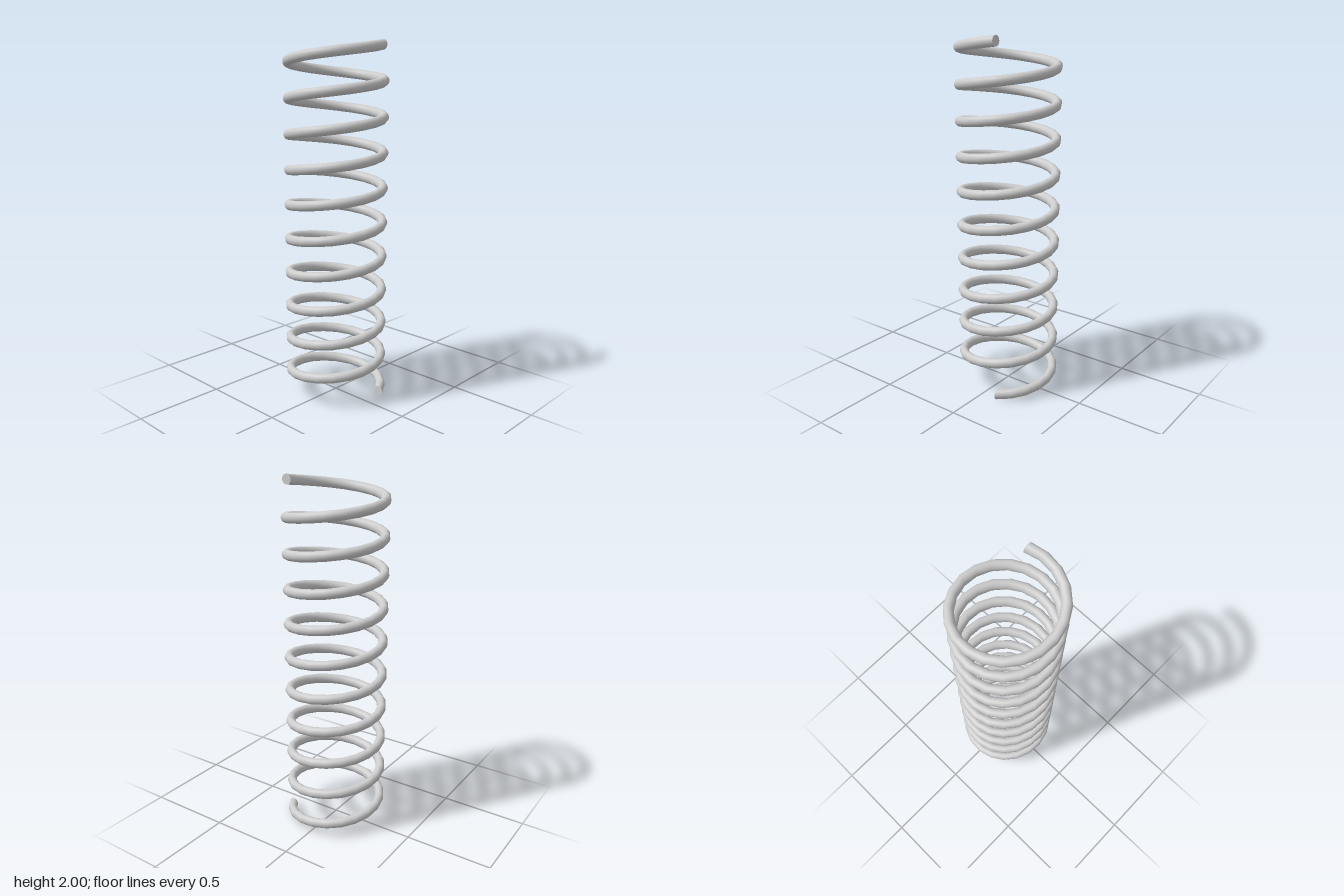
import * as THREE from 'three';

const COIL_RADIUS = 0.263;   // axis to wire centre
const WIRE_RADIUS = 0.028;
const TURNS = 10;
const STEPS = 20;            // rings per turn
const SIDES = 24;            // sides of the wire
const START = -0.414;        // angle of the wire ends around the axis
const BOTTOM = WIRE_RADIUS;
const TOP = 2 - WIRE_RADIUS;

// Centre of the wire after i rings, winding upwards
function wireCentre(i) {
  const turn = -i / STEPS * Math.PI * 2;
  const a = START + turn;
  const y = BOTTOM + (TOP - BOTTOM) * i / (TURNS * STEPS);
  return new THREE.Vector3(COIL_RADIUS * Math.cos(a), y, COIL_RADIUS * Math.sin(a));
}

// Upright round cross-sections swept along the helix
function coilGeometry() {
  const positions = [], index = [];
  const rings = TURNS * STEPS;
  for (let i = 0; i <= rings; i++) {
    const c = wireCentre(i);
    const turn = -i / STEPS * Math.PI * 2;
    for (let j = 0; j < SIDES; j++) {
      const p = j / SIDES * Math.PI * 2;
      const out = WIRE_RADIUS * Math.cos(p);
      positions.push(
        c.x + out * Math.cos(turn),
        c.y + WIRE_RADIUS * Math.sin(p),
        c.z + out * Math.sin(turn));
      if (i < rings) {
        const a = i * SIDES + j;
        const b = i * SIDES + (j + 1) % SIDES;
        index.push(a, a + SIDES, b, b, a + SIDES, b + SIDES);
      }
    }
  }
  const g = new THREE.BufferGeometry();
  g.setAttribute('position', new THREE.Float32BufferAttribute(positions, 3));
  g.setIndex(index);
  g.computeVertexNormals();
  return g;
}

export function createModel() {
  const group = new THREE.Group();
  group.name = 'coilSpring';
  const material = new THREE.MeshStandardMaterial({ color: 0xcccccc });

  const coil = new THREE.Mesh(coilGeometry(), material);
  coil.name = 'coil';
  group.add(coil);

  // Flat cut ends of the wire
  const addEnd = (name, ring, facing) => {
    const end = new THREE.Mesh(new THREE.CircleGeometry(WIRE_RADIUS, SIDES), material);
    end.name = name;
    end.position.copy(wireCentre(ring));
    end.rotation.y = facing;
    group.add(end);
  };
  addEnd('bottomEnd', 0, 0);
  addEnd('topEnd', TURNS * STEPS, Math.PI);

  return group;
}
